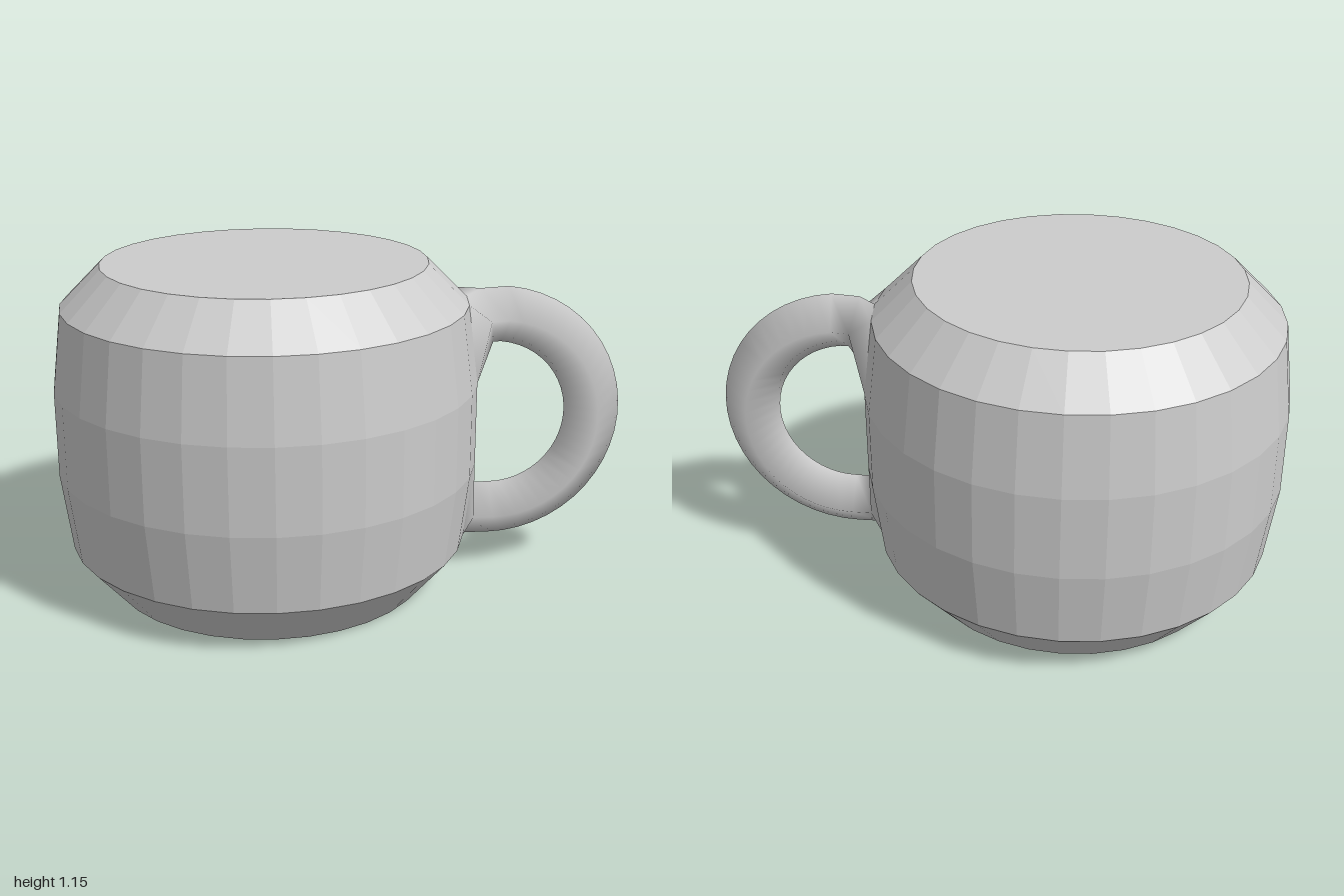
import * as THREE from 'three';
import { mergeVertices } from 'three/addons/utils/BufferGeometryUtils.js';

const SIDES = 32;
const BODY_X = -0.265;

export function createModel() {
  const group = new THREE.Group();
  group.name = 'mug';

  // Closed faceted barrel, with a vertex column on the handle side
  const profile = [[0, 0], [0.56, 0], [0.7, 0.165], [0.735, 0.44], [0.735, 0.735], [0.7, 1.01], [0.56, 1.15], [0, 1.15]];
  const body = new THREE.Mesh(
    new THREE.LatheGeometry(profile.map(([r, y]) => new THREE.Vector2(r, y)), SIDES),
    new THREE.MeshStandardMaterial({ color: 0xcccccc, flatShading: true })
  );
  body.name = 'body';
  body.position.x = BODY_X;
  group.add(body);

  const handle = new THREE.Mesh(handleGeometry(), new THREE.MeshStandardMaterial({ color: 0xcccccc }));
  handle.name = 'handle';
  group.add(handle);
  return group;
}

// Diamond section; its side corners are doubled to meet the six-point roots
function diamond(cx, cy, angle, r = 0.1) {
  const dx = Math.cos(angle) * r, dy = Math.sin(angle) * r;
  const out = [cx + dx, cy + dy, 0], inn = [cx - dx, cy - dy, 0];
  const left = [cx, cy, r], right = [cx, cy, -r];
  return [out, left, left, inn, right, right];
}

// Six points on the body, two facets wide, where the handle flares out
function root(yOuter, yInner) {
  const point = (r, y, step) => {
    const a = step * 2 * Math.PI / SIDES;
    return [BODY_X + r * Math.cos(a), y, r * Math.sin(a)];
  };
  return [
    point(0.7, yOuter, 0), point(0.7, yOuter, 1), point(0.735, yInner, 1),
    point(0.735, yInner, 0), point(0.735, yInner, -1), point(0.7, yOuter, -1)
  ];
}

function handleGeometry() {
  // Sections from the upper root, around the loop, to the lower root
  const rings = [root(1.01, 0.735), diamond(0.51, 0.94, 1.82)];
  const steps = 24;
  for (let i = 0; i <= steps; i++) {
    const a = THREE.MathUtils.degToRad(84 - 174 * i / steps);
    rings.push(diamond(0.535 + 0.365 * Math.cos(a), 0.58 + 0.365 * Math.sin(a), a));
  }
  rings.push(diamond(0.465, 0.215, -1.69), root(0.165, 0.44));

  // Skin the sections, skipping triangles collapsed by doubled corners
  const positions = [];
  const addTriangle = (a, b, c) => {
    if (a !== b && b !== c && a !== c) positions.push(...a, ...b, ...c);
  };
  for (let i = 0; i < rings.length - 1; i++) {
    for (let j = 0; j < 6; j++) {
      const k = (j + 1) % 6;
      addTriangle(rings[i][j], rings[i][k], rings[i + 1][k]);
      addTriangle(rings[i][j], rings[i + 1][k], rings[i + 1][j]);
    }
  }
  const soup = new THREE.BufferGeometry();
  soup.setAttribute('position', new THREE.Float32BufferAttribute(positions, 3));
  const geometry = mergeVertices(soup);
  geometry.computeVertexNormals();
  return geometry;
}
